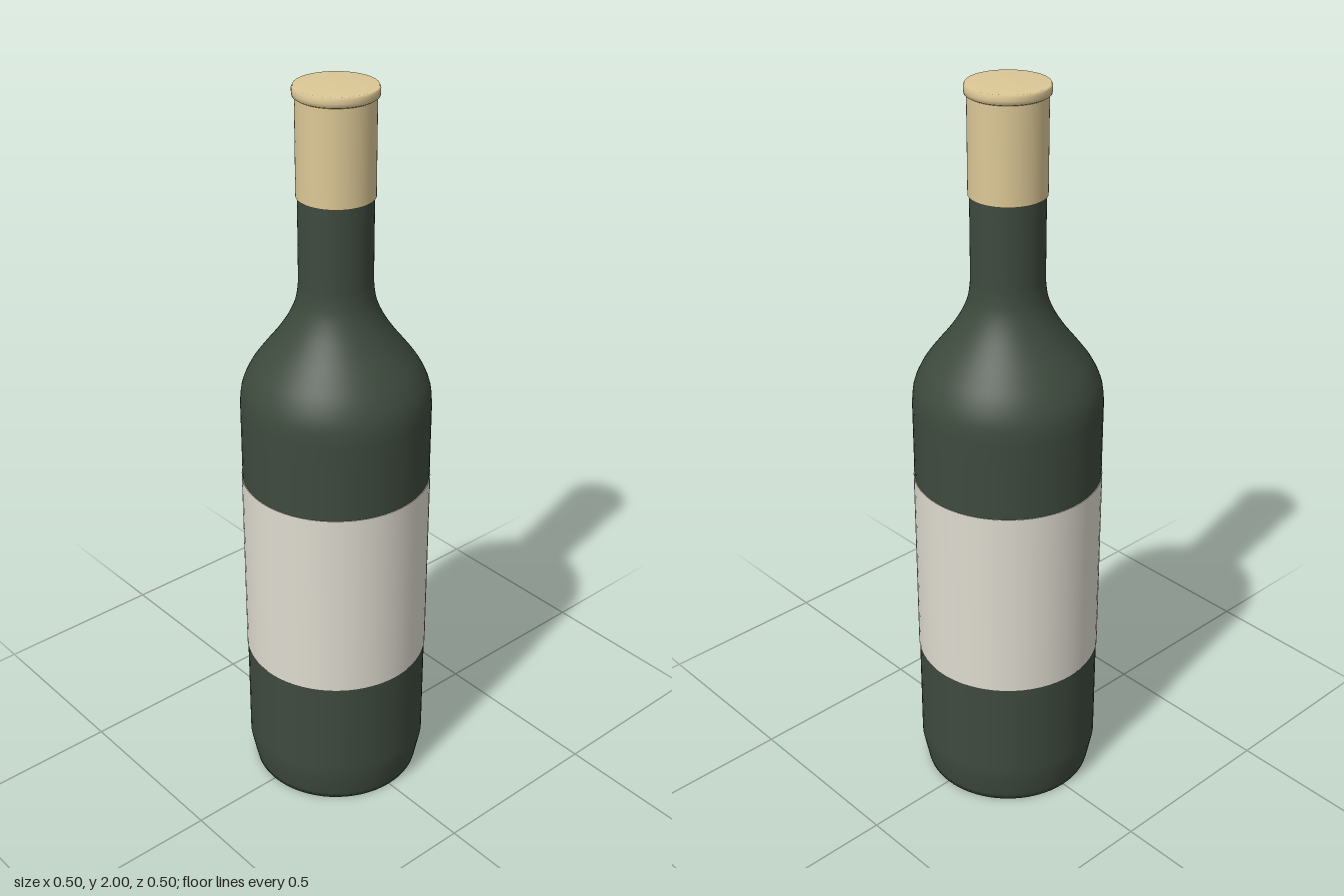
import * as THREE from 'three';

const SEGMENTS = 64;

function material(name, color) {
  const m = new THREE.MeshStandardMaterial({ color });
  m.name = name;
  return m;
}

// Surface of revolution from [radius, height] pairs, listed bottom to top
function turned(name, profile, mat) {
  const points = profile.map(([r, y]) => new THREE.Vector2(r, y));
  const mesh = new THREE.Mesh(new THREE.LatheGeometry(points, SEGMENTS), mat);
  mesh.name = name;
  return mesh;
}

export function createModel() {
  const glass = material('dark green glass', 0x3e4a3e);
  const paper = material('off-white paper', 0xdedbcf);
  const foil = material('pale gold foil', 0xdcc896);

  const bottle = new THREE.Group();
  bottle.name = 'bottle';

  // Shoulder curve sweeping from the body into the neck
  const shoulder = new THREE.SplineCurve([
    [0.25, 1.16], [0.244, 1.21], [0.222, 1.26], [0.19, 1.305], [0.155, 1.35],
    [0.123, 1.4], [0.102, 1.45], [0.095, 1.5],
  ].map(([r, y]) => new THREE.Vector2(r, y))).getPoints(24).map((p) => [p.x, p.y]);

  // Glass body with a tapered foot, shoulder and straight neck
  bottle.add(turned('glassBody', [
    [0, 0], [0.233, 0], [0.237, 0.018], [0.25, 0.085], [0.25, 0.12], [0.25, 1.1],
    ...shoulder, [0.095, 1.55], [0.095, 1.76],
  ], glass));

  // Paper label wrapped all the way round
  bottle.add(turned('label', [
    [0.249, 0.4], [0.252, 0.4], [0.252, 0.4], [0.252, 0.945], [0.252, 0.945], [0.249, 0.945],
  ], paper));

  // Foil sleeve over the top of the neck
  bottle.add(turned('foilSleeve', [[0.099, 1.725], [0.099, 1.98]], foil));
  bottle.add(turned('foilSleeveEdge', [[0.094, 1.725], [0.099, 1.725]], foil));

  // Slightly wider lip with a closed top
  bottle.add(turned('foilLip', [
    [0.098, 1.972], [0.105, 1.976], [0.106, 1.985], [0.106, 1.994], [0.103, 2], [0, 2],
  ], foil));

  return bottle;
}
